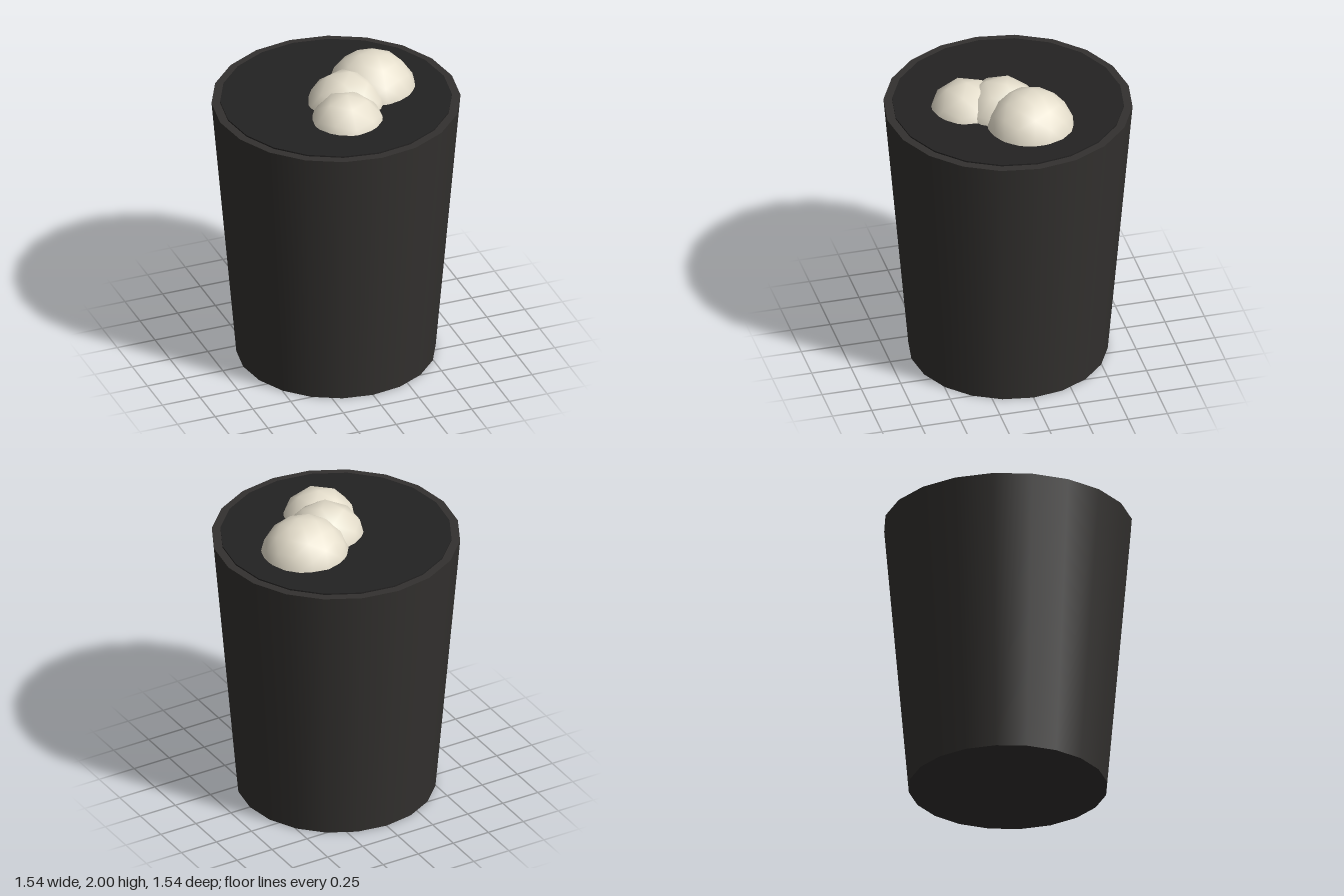
import * as THREE from 'three';

const SIDES = 20;

function addMesh(group, name, geometry, color, position) {
  const mesh = new THREE.Mesh(geometry, new THREE.MeshStandardMaterial({ color }));
  mesh.name = name;
  mesh.position.set(...position);
  group.add(mesh);
  return mesh;
}

export function createModel() {
  const model = new THREE.Group();
  model.name = 'filledCup';

  // Tapered cup with a flat rim and a closed base
  const height = 1.778;
  addMesh(model, 'cup', new THREE.CylinderGeometry(0.768, 0.615, height, SIDES), 0x33312f, [0, height / 2, 0]);

  // Filling: a thin disc standing just proud of the rim
  addMesh(model, 'filling', new THREE.CylinderGeometry(0.715, 0.715, 0.04, SIDES), 0x232222, [0, 1.767, 0]);

  // Three overlapping rounded lumps, half sunk in the filling
  const lumps = [
    { name: 'largeLump', radius: 0.28, detail: 2, at: [0.265, 1.722, -0.073], turn: [0.2, 0.4, 0.1] },
    { name: 'middleLump', radius: 0.255, detail: 1, at: [0.045, 1.72, 0.055], turn: [0.1, 0.9, 0.3] },
    { name: 'smallLump', radius: 0.24, detail: 1, at: [-0.028, 1.71, 0.255], turn: [0, 0.2, 0.55] },
  ];
  for (const { name, radius, detail, at, turn } of lumps) {
    const lump = addMesh(model, name, new THREE.IcosahedronGeometry(radius, detail), 0xe6dfcd, at);
    lump.rotation.set(...turn);
  }

  return model;
}
